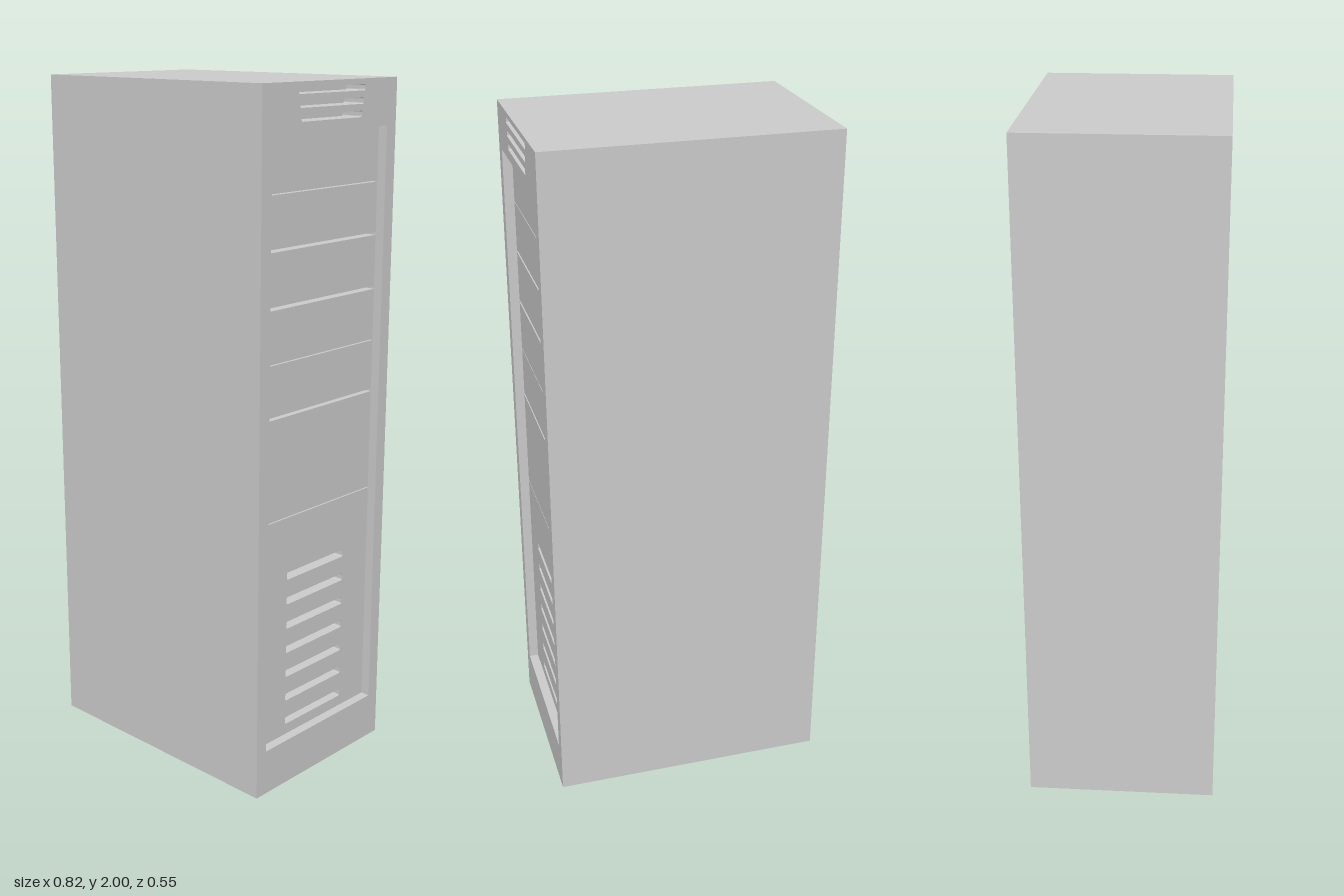
import * as THREE from 'three';

const W = 0.408, D = 0.277, H = 2;       // half width, half depth, height
const BACK = 0.34, PANEL = 0.38;         // recess floor behind bays, bay face

// Rectangle with slightly rounded corners, centred at (0, cy)
function roundedRect(Type, cy, w, h, r) {
  const p = new Type(), x = w / 2, y0 = cy - h / 2, y1 = cy + h / 2;
  p.moveTo(-x + r, y0);
  p.lineTo(x - r, y0).quadraticCurveTo(x, y0, x, y0 + r);
  p.lineTo(x, y1 - r).quadraticCurveTo(x, y1, x - r, y1);
  p.lineTo(-x + r, y1).quadraticCurveTo(-x, y1, -x, y1 - r);
  p.lineTo(-x, y0 + r).quadraticCurveTo(-x, y0, -x + r, y0);
  return p;
}

function rect(Type, w, y0, y1) {
  const x = w / 2;
  return new Type([[-x, y0], [x, y0], [x, y1], [-x, y1]].map(([a, b]) => new THREE.Vector2(a, b)));
}

export function createModel() {
  const group = new THREE.Group();
  const grey = new THREE.MeshStandardMaterial({ color: 0xcccccc });
  grey.name = 'cabinet grey';

  const add = (name, geometry) => {
    const mesh = new THREE.Mesh(geometry, grey);
    mesh.name = name;
    group.add(mesh);
    return mesh;
  };

  // Extrude a face outline toward +x, between x0 and x1
  const plate = (name, shape, x0, x1) => {
    const g = new THREE.ExtrudeGeometry(shape, { depth: x1 - x0, bevelEnabled: false, curveSegments: 3 });
    g.rotateY(Math.PI / 2);
    return add(name, g.translate(x0, 0, 0));
  };

  // Solid cabinet
  add('cabinetBody', new THREE.BoxGeometry(W + BACK, H, D * 2)).position.set((BACK - W) / 2, H / 2, 0);

  // Frame around the bays, with the three upper vent slots
  const frame = rect(THREE.Shape, D * 2, 0, H);
  frame.holes.push(rect(THREE.Path, 0.476, 0.135, 1.87));
  [[1.977, 0.275], [1.942, 0.262], [1.907, 0.25]].forEach(([y, w]) =>
    frame.holes.push(roundedRect(THREE.Path, y, w, 0.017, 0.004)));
  plate('frontFrame', frame, BACK, W);

  // Bay covers, separated by narrow seams: [bottom, top]
  const bays = [
    [1.718, 1.87], [1.573, 1.715], [1.419, 1.565], [1.263, 1.41],
    [1.115, 1.26], [0.96, 1.107], [0.813, 0.96], [0.66, 0.81],
  ];
  bays.forEach(([y0, y1], i) => plate(`bayCover${i + 1}`, rect(THREE.Shape, 0.476, y0, y1), BACK, PANEL));

  // Lower panel with seven vent slots
  const lower = rect(THREE.Shape, 0.476, 0.135, 0.66);
  for (let i = 0; i < 7; i++) {
    lower.holes.push(roundedRect(THREE.Path, 0.178 + i * 0.0758, 0.25, 0.022, 0.005));
  }
  plate('lowerVentPanel', lower, BACK, PANEL);

  return group;
}
